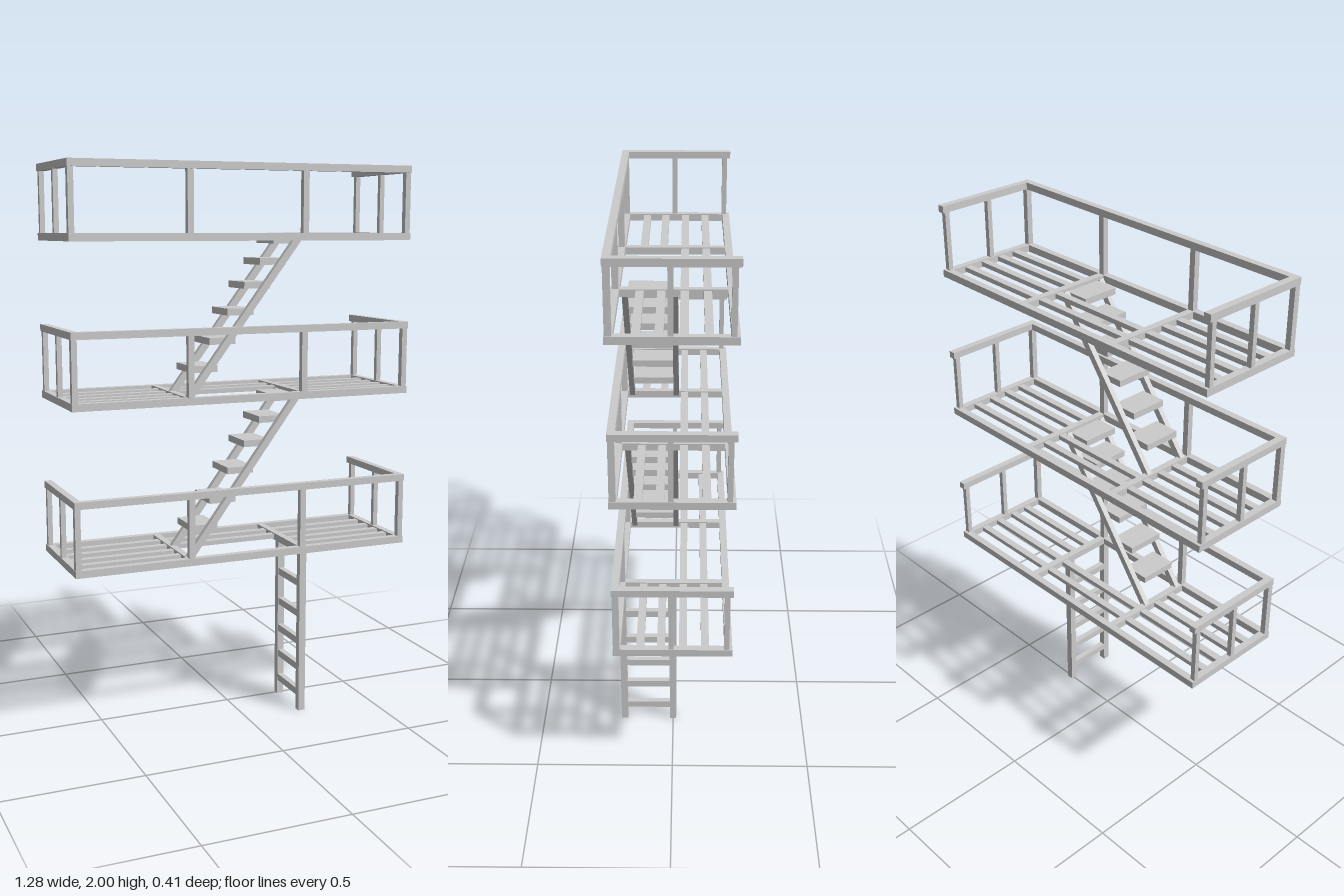
import * as THREE from 'three';

const material = new THREE.MeshStandardMaterial({ color: 0xcccccc, flatShading: true });

// Box given by its lower and upper limits on each axis
function bar(parent, name, [x0, x1], [y0, y1], [z0, z1]) {
  const mesh = new THREE.Mesh(new THREE.BoxGeometry(x1 - x0, y1 - y0, z1 - z0), material);
  mesh.position.set((x0 + x1) / 2, (y0 + y1) / 2, (z0 + z1) / 2);
  mesh.name = name;
  parent.add(mesh);
  return mesh;
}

function group(parent, name, y = 0) {
  const g = new THREE.Group();
  g.name = name;
  g.position.y = y;
  parent.add(g);
  return g;
}

const X0 = -0.64, X1 = 0.637, Z0 = -0.205, Z1 = 0.2, T = 0.026;
const BEAMS = [[-0.23, -0.204], [0.205, 0.231]];

// Slatted floor with an opening for the stairs
function addDeck(parent) {
  const deck = group(parent, 'deck');
  const y = [0, T];
  bar(deck, 'frontBeam', [X0, X1], y, [Z1 - T, Z1]);
  bar(deck, 'backBeam', [X0, X1], y, [Z0, Z0 + T]);
  bar(deck, 'rightEndBeam', [X0, X0 + T], y, [Z0 + T, Z1 - T]);
  bar(deck, 'leftEndBeam', [X1 - T, X1], y, [Z0 + T, Z1 - T]);
  for (const b of BEAMS) bar(deck, 'crossBeam', b, y, [Z0 + T, Z1 - T]);
  const bays = [[X0 + T, BEAMS[0][0]], [BEAMS[0][1], BEAMS[1][0]], [BEAMS[1][1], X1 - T]];
  for (const z of [-0.113, -0.038, 0.037, 0.107]) {
    bays.forEach((bay, i) => {
      if (i === 1 && z > 0) return;
      bar(deck, 'slat', bay, [0.005, 0.022], [z - 0.0135, z + 0.0135]);
    });
  }
}

// Handrail along the front and both ends; the wall side is open
function addRailing(parent) {
  const railing = group(parent, 'railing');
  const y = [0.239, 0.264], post = [T, 0.239];
  bar(railing, 'frontHandrail', [X0, X1], y, [Z1 - T, Z1]);
  bar(railing, 'rightHandrail', [X0, X0 + T], y, [Z0, Z1 - T]);
  bar(railing, 'leftHandrail', [X1 - T, X1], y, [Z0, Z1 - T]);
  for (const x of [-0.215, 0.217]) bar(railing, 'frontPost', [x - 0.011, x + 0.011], post, [0.176, 0.198]);
  for (const x of [-0.629, 0.625]) {
    bar(railing, 'cornerPost', [x - 0.01, x + 0.01], post, [0.176, 0.198]);
    for (const z of [0.002, -0.185]) bar(railing, 'endPost', [x - 0.009, x + 0.009], post, [z - 0.009, z + 0.009]);
  }
}

// Flight of open treads between two sloping stringers
function addStairs(parent, y, rise) {
  const stairs = group(parent, 'stairs', y);
  const a = [-0.215, 0.015], b = [0.207, rise + 0.012];
  const dx = b[0] - a[0], dy = b[1] - a[1], length = Math.hypot(dx, dy);
  for (const z of [-0.007, 0.157]) {
    const s = bar(stairs, 'stringer', [-length / 2, length / 2], [-0.0125, 0.0125], [z - 0.01, z + 0.01]);
    s.position.set((a[0] + b[0]) / 2, (a[1] + b[1]) / 2, z);
    s.rotation.z = Math.atan2(dy, dx);
  }
  const treads = [[-0.198, 0.106], [-0.129, 0.203], [-0.06, 0.304], [0.003, 0.397], [0.062, 0.48], [0.114, 0.555]];
  for (const [x, h] of treads) {
    const ty = h * rise / 0.565;
    bar(stairs, 'tread', [x, x + 0.099], [ty, ty + 0.024], [0.003, 0.147]);
  }
}

// Ladder hanging from the lowest deck
function addLadder(parent) {
  const ladder = group(parent, 'ladder');
  for (const z of [[-0.012, 0.013], [0.175, 0.2]]) bar(ladder, 'ladderRail', [0.205, 0.231], [0, 0.606], z);
  for (const y of [0.066, 0.165, 0.266, 0.373, 0.49]) {
    bar(ladder, 'rung', [0.207, 0.229], [y - 0.013, y + 0.013], [0.013, 0.175]);
  }
}

export function createModel() {
  const model = new THREE.Group();
  model.name = 'fireEscape';
  const levels = [0.605, 1.177, 1.736];
  levels.forEach((y, i) => {
    const level = group(model, 'level' + (i + 1), y);
    addDeck(level);
    addRailing(level);
    if (i < 2) addStairs(model, y, levels[i + 1] - y);
  });
  addLadder(model);
  return model;
}
